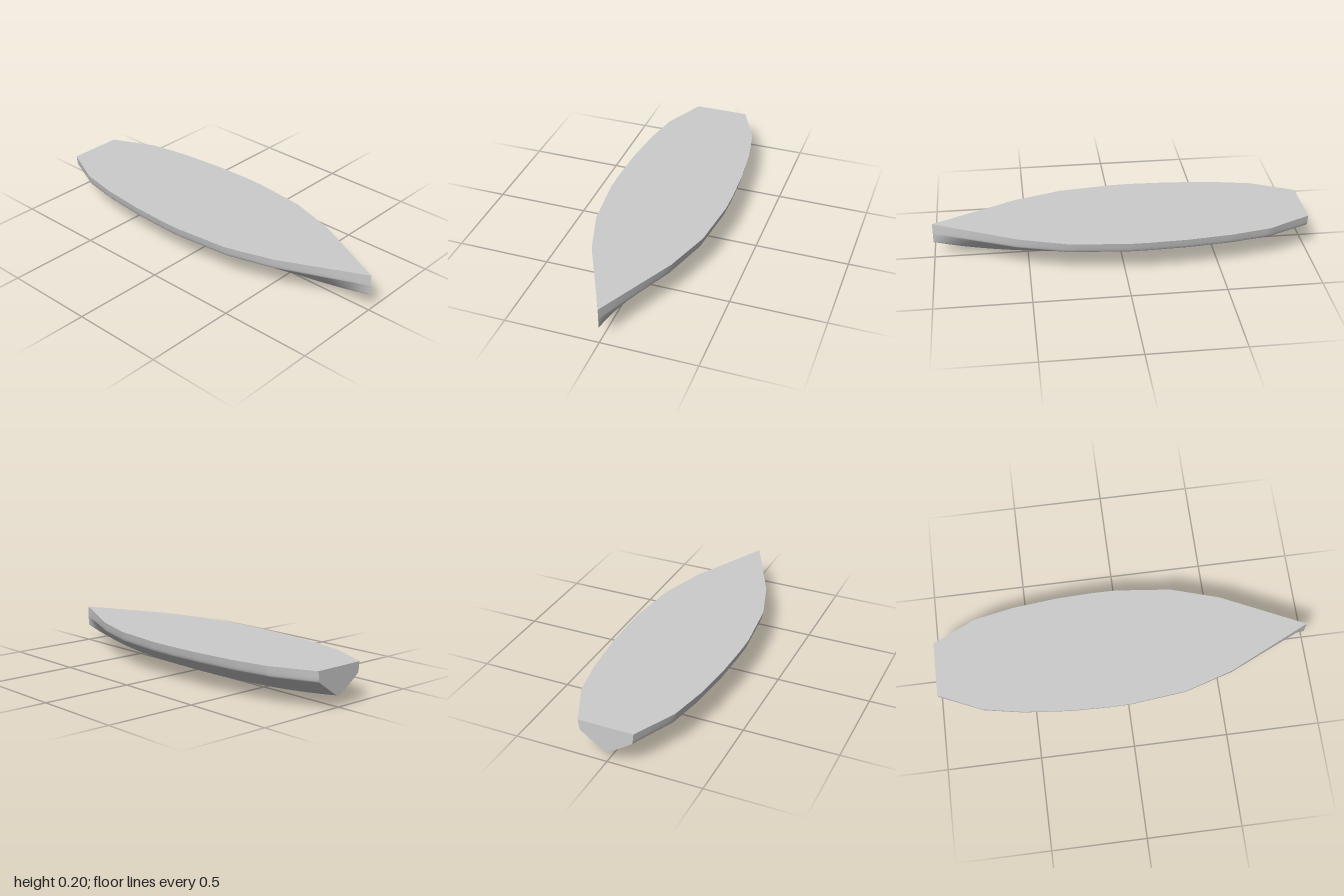
import * as THREE from 'three';

const TOP = 0.205, CHINE = 0.146;

// Deck outline: [x, half width]
const OUTLINE = [[-1, 0.147], [-0.77, 0.255], [-0.56, 0.296], [-0.32, 0.32], [-0.12, 0.327],
  [0, 0.326], [0.3, 0.293], [0.56, 0.212], [1, 0]];

function halfWidth(x) {
  let i = 1;
  while (i < OUTLINE.length - 1 && x > OUTLINE[i][0]) i++;
  const [x0, w0] = OUTLINE[i - 1], [x1, w1] = OUTLINE[i];
  return w0 + (w1 - w0) * (x - x0) / (x1 - x0);
}

// Keel rises gently to the stern and more sharply to the bow
const keel = x => x < 0 ? 0.002 + 0.058 * Math.pow(-x, 2.3) : 0.002 + 0.093 * Math.pow(x, 2.8);

// Cross-section from the rail at +z, round the keel, to the rail at -z, as [z, y]
function section(x) {
  const w = halfWidth(x), k = keel(x);
  const side = [[1, TOP], [0.985, 0.185], [0.972, 0.168], [0.958, 0.156], [0.944, 0.15], [0.925, CHINE]];
  for (const [f, t] of [[0.9, 0.968], [0.66, 0.68], [0.4, 0.375], [0.18, 0.125], [0.12, 0.066], [0.06, 0.02]])
    side.push([f, k + (CHINE - k) * t]);
  const half = side.map(([f, y]) => [f * w, y]);
  return [...half, [0, k], ...half.slice().reverse().map(([z, y]) => [-z, y])];
}

// Skin lofted through the sections
function hullGeometry() {
  const xs = OUTLINE.map(p => p[0]);
  for (let i = 1; i < 40; i++) {
    const x = -1 + i / 20;
    if (!xs.some(v => Math.abs(v - x) < 0.015)) xs.push(x);
  }
  xs.sort((a, b) => a - b);
  const pos = [], index = [], n = section(0).length;
  xs.forEach((x, i) => {
    for (const [z, y] of section(x)) pos.push(x, y, z);
    if (i === 0) return;
    for (let j = 0; j < n - 1; j++) {
      const a = (i - 1) * n + j, b = i * n + j;
      index.push(a, a + 1, b, b, a + 1, b + 1);
    }
  });
  const g = new THREE.BufferGeometry();
  g.setAttribute('position', new THREE.Float32BufferAttribute(pos, 3));
  g.setIndex(index);
  g.computeVertexNormals();
  return g;
}

export function createModel() {
  const group = new THREE.Group();
  group.name = 'boatHull';
  const material = new THREE.MeshStandardMaterial({ color: 0xcccccc, side: THREE.DoubleSide });
  const add = (name, geometry) => {
    const mesh = new THREE.Mesh(geometry, material);
    mesh.name = name;
    group.add(mesh);
    return mesh;
  };

  add('hull', hullGeometry());

  // Flat deck closing the top
  const rim = [...OUTLINE, ...OUTLINE.slice(0, -1).reverse().map(([x, w]) => [x, -w])];
  const deck = new THREE.ShapeGeometry(new THREE.Shape(rim.map(([x, z]) => new THREE.Vector2(x, z))));
  deck.rotateX(-Math.PI / 2).translate(0, TOP, 0);
  add('deck', deck);

  // Flat transom closing the stern
  const transom = new THREE.ShapeGeometry(new THREE.Shape(section(-1).map(([z, y]) => new THREE.Vector2(z, y))));
  transom.rotateY(-Math.PI / 2).translate(-1, 0, 0);
  add('transom', transom);

  return group;
}
